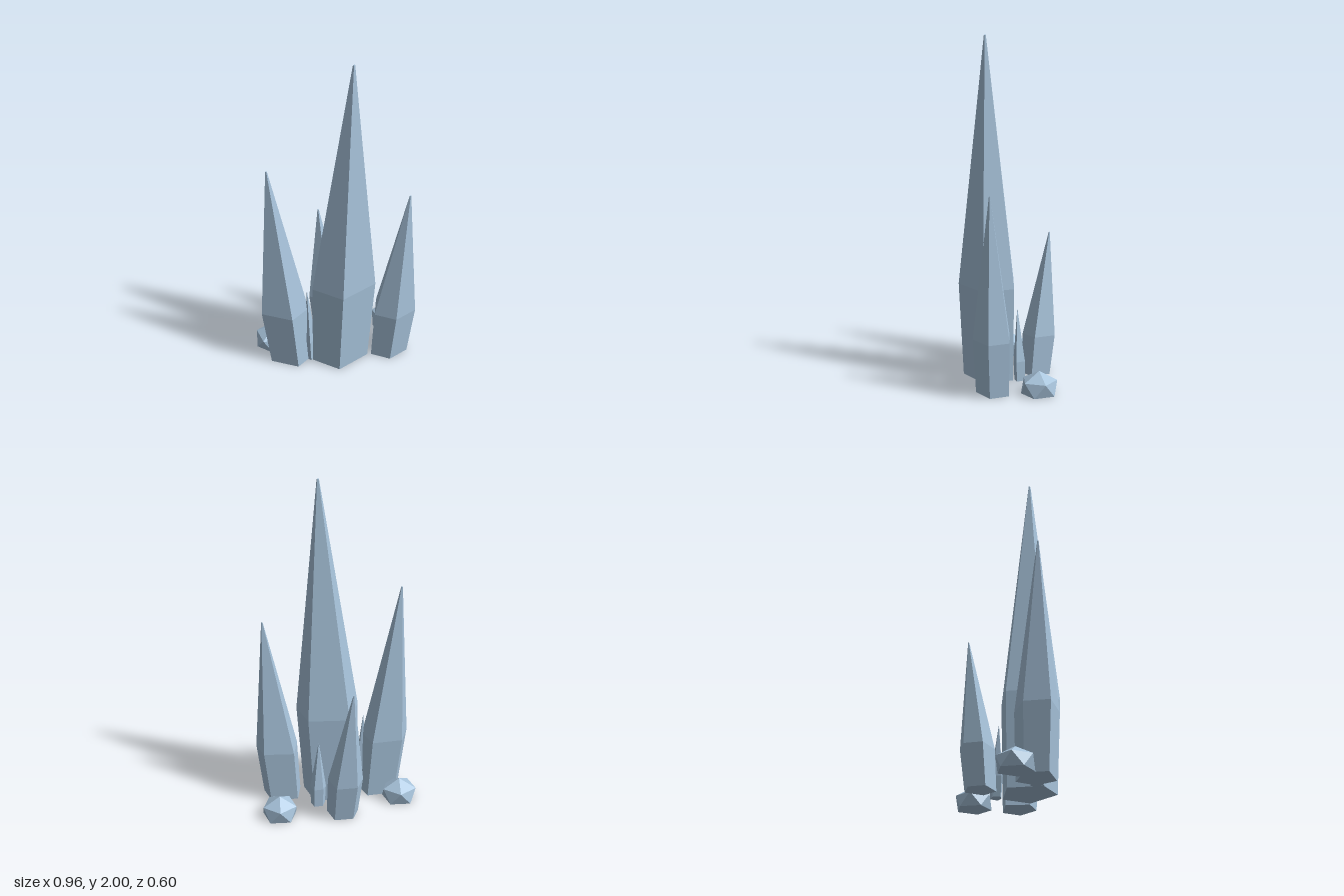
import * as THREE from 'three';
import { ConvexGeometry } from 'three/addons/geometries/ConvexGeometry.js';

const crystalMaterial = new THREE.MeshStandardMaterial({ color: 0xa8c4dc });
crystalMaterial.name = 'paleIceBlue';

function part(name, points) {
  const mesh = new THREE.Mesh(new ConvexGeometry(points), crystalMaterial);
  mesh.name = name;
  return mesh;
}

// Leaning five-sided crystal: narrow foot, wide shoulder, tiny flat tip.
// outline holds the shoulder corners as [x, z]; tip is [x, height, z].
function crystal(name, outline, [tipX, height, tipZ]) {
  const shoulder = height * 0.28;
  const n = outline.length;
  const cx = outline.reduce((s, p) => s + p[0], 0) / n;
  const cz = outline.reduce((s, p) => s + p[1], 0) / n;
  const points = [];
  for (const [y, scale] of [[0, 0.9], [shoulder, 1], [height, 0.035]]) {
    const lean = (y - shoulder) / (height - shoulder);
    for (const [x, z] of outline) {
      points.push(new THREE.Vector3(
        cx + (tipX - cx) * lean + (x - cx) * scale,
        y,
        cz + (tipZ - cz) * lean + (z - cz) * scale));
    }
  }
  return part(name, points);
}

// Squat faceted pebble: top point, upper ring and a staggered ring on the ground
function pebble(name, x, z, radius) {
  const points = [new THREE.Vector3(x, 0.132, z)];
  for (let i = 0; i < 10; i++) {
    const a = i * Math.PI / 5;
    points.push(new THREE.Vector3(
      x + radius * Math.cos(a), i % 2 ? 0 : 0.078, z + radius * Math.sin(a)));
  }
  return part(name, points);
}

export function createModel() {
  const group = new THREE.Group();
  group.name = 'crystalCluster';
  group.add(
    // Large crystals
    crystal('mainCrystal',
      [[-0.07, -0.07], [0.162, 0.01], [0.165, 0.2], [-0.07, 0.27], [-0.2, 0.11]],
      [0.04, 2, 0.14]),
    crystal('rightCrystal',
      [[-0.395, -0.12], [-0.215, -0.087], [-0.205, 0.055], [-0.335, 0.125], [-0.482, 0]],
      [-0.41, 1.35, -0.03]),
    crystal('leftCrystal',
      [[0.235, 0.065], [0.405, 0.125], [0.41, 0.252], [0.265, 0.295], [0.165, 0.2]],
      [0.36, 1.15, 0.225]),
    crystal('backCrystal',
      [[-0.025, -0.3], [0.095, -0.27], [0.1, -0.142], [-0.005, -0.105], [-0.095, -0.217]],
      [-0.008, 0.84, -0.272]),
    // Small shards between them
    crystal('rightShard',
      [[-0.205, 0.015], [-0.165, 0.03], [-0.165, 0.068], [-0.215, 0.1], [-0.24, 0.06]],
      [-0.212, 0.5, 0.052]),
    crystal('leftShard',
      [[0.068, -0.03], [0.1, -0.07], [0.155, -0.06], [0.16, -0.005], [0.11, -0.005]],
      [0.112, 0.42, -0.028]),
    // Loose pebbles
    pebble('leftPebble', 0.378, -0.062, 0.103),
    pebble('rightPebble', -0.366, -0.152, 0.104));
  return group;
}
